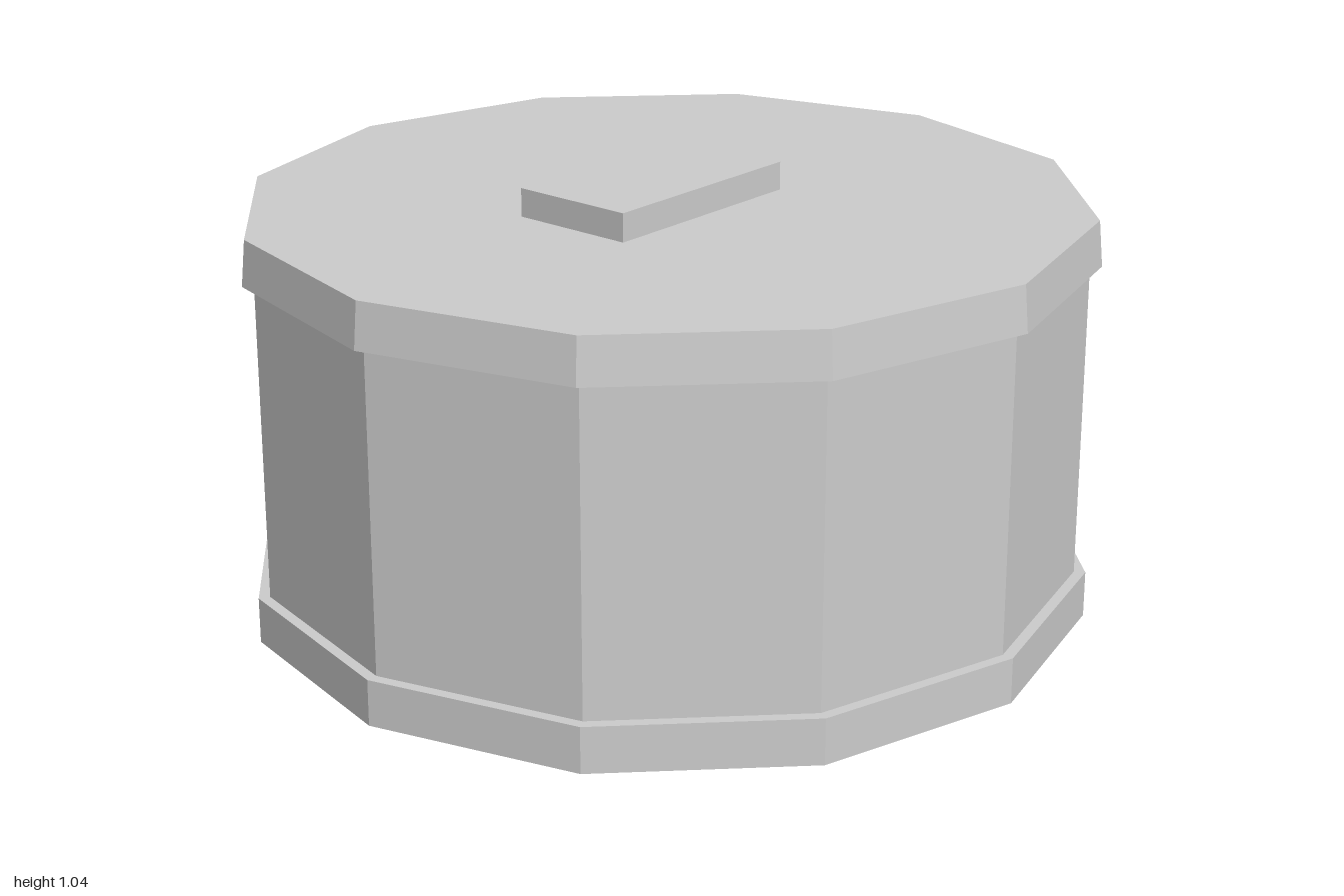
import * as THREE from 'three';

export function createModel() {
  const model = new THREE.Group();
  model.name = 'lidded drum';
  const grey = new THREE.MeshStandardMaterial({ color: 0xcccccc, flatShading: true });
  grey.name = 'light grey';

  const add = (name, geometry, x, y, z) => {
    const mesh = new THREE.Mesh(geometry, grey);
    mesh.name = name;
    mesh.position.set(x, y, z);
    model.add(mesh);
  };
  // Twelve-sided drum section between two heights
  const section = (name, rTop, rBottom, y0, y1) =>
    add(name, new THREE.CylinderGeometry(rTop, rBottom, y1 - y0, 12), 0, (y0 + y1) / 2, 0);

  section('baseRim', 1, 1, 0, 0.11);
  section('body', 0.973, 0.973, 0.11, 0.865);
  section('lid', 0.99, 1, 0.865, 0.973);

  // Flat handle block, set slightly forward on the lid
  add('handle', new THREE.BoxGeometry(0.306, 0.067, 0.553), 0, 1.0065, 0.053);

  return model;
}
